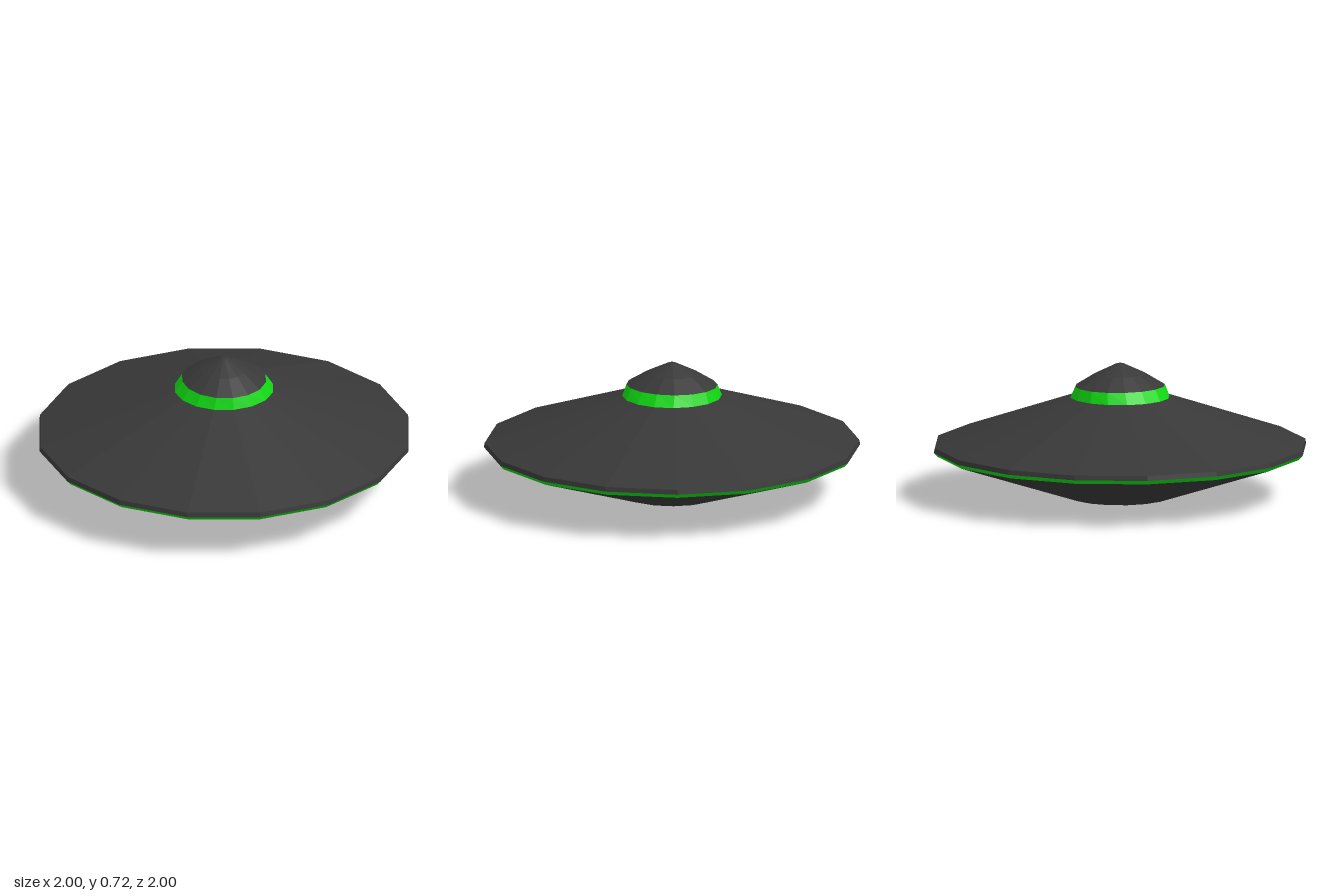
import * as THREE from 'three';

const SIDES = 16;

export function createModel() {
  const group = new THREE.Group();
  const hull = new THREE.MeshStandardMaterial({ color: 0x383838, flatShading: true });
  hull.name = 'dark hull';
  const glow = new THREE.MeshStandardMaterial({ color: 0x10d812, flatShading: true });
  glow.name = 'green glow';

  // Faceted ring from a [radius, height] profile; profiles running upward face outward.
  // Above the dome base the section narrows slightly in x.
  function ring(name, profile, material) {
    const geometry = new THREE.LatheGeometry(profile.map(([r, y]) => new THREE.Vector2(r, y)), SIDES);
    const pos = geometry.attributes.position;
    for (let i = 0; i < pos.count; i++) {
      if (pos.getY(i) > 0.59) pos.setX(i, pos.getX(i) * 0.92);
    }
    geometry.computeVertexNormals();
    const mesh = new THREE.Mesh(geometry, material);
    mesh.name = name;
    group.add(mesh);
  }

  // Saucer body
  ring('lowerHull', [[0.265, 0], [0.98, 0.24]], hull);
  ring('rimLight', [[0.98, 0.24], [1, 0.262]], glow);
  ring('rim', [[1, 0.262], [0.995, 0.287]], hull);
  ring('upperHull', [[0.995, 0.287], [0.265, 0.54]], hull);

  // Cockpit
  ring('cockpitBand', [[0.265, 0.54], [0.245, 0.6]], glow);
  ring('dome', [[0.245, 0.6], [0.14, 0.663], [0.02, 0.719], [0, 0.72]], hull);

  // Hollow underside, profile running downward so it faces inward
  ring('undersideRecess', [[0, 0.14], [0.14, 0.125], [0.265, 0.1], [0.265, 0]], hull);

  return group;
}
